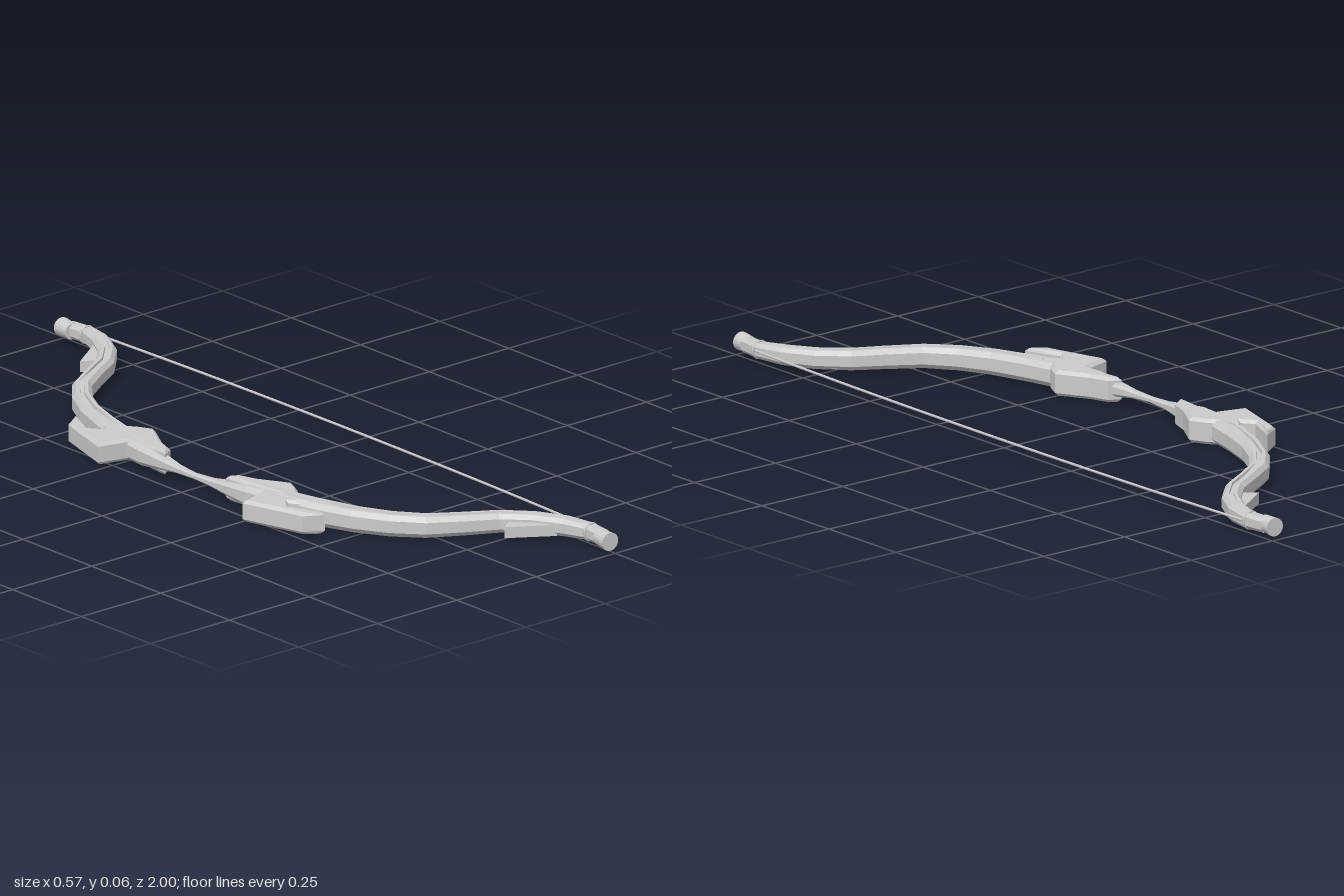
import * as THREE from 'three';

const MID = 0.036; // height of the bow's central plane
const material = new THREE.MeshStandardMaterial({ color: 0xcccccc, flatShading: true, side: THREE.DoubleSide });
const smooth = new THREE.MeshStandardMaterial({ color: 0xcccccc });

// half of the bow from grip to tip: x, z, half width, half height, groove depth
const HALF = [
  [-0.207, 0, 0.009, 0.006, 0],
  [-0.205, 0.06, 0.011, 0.009, 0],
  [-0.201, 0.12, 0.017, 0.017, 0],
  [-0.193, 0.19, 0.026, 0.026, 0],
  [-0.178, 0.28, 0.029, 0.029, 0],
  [-0.153, 0.38, 0.028, 0.029, 0.004],
  [-0.118, 0.48, 0.026, 0.028, 0.008],
  [-0.075, 0.56, 0.025, 0.027, 0.008],
  [-0.02, 0.625, 0.024, 0.026, 0],
  [0.06, 0.675, 0.023, 0.025, 0.006],
  [0.13, 0.715, 0.023, 0.024, 0.006],
  [0.19, 0.775, 0.023, 0.023, 0.004],
  [0.23, 0.845, 0.022, 0.022, 0],
  [0.248, 0.91, 0.018, 0.019, 0],
  [0.243, 0.97, 0.017, 0.018, 0],
];

// chamfered section with a shallow channel along the top
function section(w, h, g) {
  return [
    [w, -0.55 * h], [w, 0.55 * h], [0.6 * w, h], [0.25 * w, h], [0.2 * w, h - g],
    [-0.2 * w, h - g], [-0.25 * w, h], [-0.6 * w, h], [-w, 0.55 * h], [-w, -0.55 * h],
    [-0.6 * w, -h], [0.6 * w, -h],
  ];
}

// sweep the section along the whole mirrored path
function limbGeometry() {
  const path = [...HALF.slice(1).reverse().map(([x, z, ...r]) => [x, -z, ...r]), ...HALF];
  const pos = [], idx = [], n = 12;
  path.forEach(([x, z, w, h, g], i) => {
    const a = path[Math.max(i - 1, 0)], b = path[Math.min(i + 1, path.length - 1)];
    const t = new THREE.Vector2(b[0] - a[0], b[1] - a[1]).normalize();
    for (const [u, v] of section(w, h, g)) pos.push(x + t.y * u, MID + v, z - t.x * u);
    if (i === 0) return;
    for (let j = 0; j < n; j++) {
      const p = (i - 1) * n + j, q = (i - 1) * n + (j + 1) % n;
      idx.push(p, q, q + n, p, q + n, p + n);
    }
  });
  const geo = new THREE.BufferGeometry();
  geo.setAttribute('position', new THREE.Float32BufferAttribute(pos, 3));
  geo.setIndex(idx);
  geo.computeVertexNormals();
  return geo;
}

// horizontal plate from an x,z outline between two heights, with chamfered rims
function plate(points, side, y0, y1, bevel) {
  const shape = new THREE.Shape(points.map(([x, z]) => new THREE.Vector2(x, z * side)));
  const geo = new THREE.ExtrudeGeometry(shape, {
    depth: y1 - y0 - 2 * bevel, bevelEnabled: bevel > 0, bevelSegments: 1,
    bevelThickness: bevel, bevelSize: bevel, bevelOffset: -bevel,
  });
  geo.rotateX(Math.PI / 2);
  geo.translate(0, y1 - bevel, 0);
  return geo;
}

const GUARD = [
  [-0.285, 0.262], [-0.2, 0.238], [-0.17, 0.3], [-0.182, 0.36],
  [-0.203, 0.335], [-0.225, 0.365], [-0.19, 0.452], [-0.237, 0.425],
];
const GRIP_BLOCK = [
  [-0.205, 0.11], [-0.175, 0.125], [-0.158, 0.175], [-0.115, 0.25],
  [-0.135, 0.29], [-0.155, 0.315], [-0.165, 0.37], [-0.19, 0.28],
];
const FIN = [[0.1, 0.77], [0.165, 0.725], [0.21, 0.78], [0.205, 0.84]];

export function createModel() {
  const bow = new THREE.Group();
  bow.name = 'bow';
  const add = (name, geo, mat = material) => {
    const mesh = new THREE.Mesh(geo, mat);
    mesh.name = name;
    bow.add(mesh);
    return mesh;
  };

  add('limbs', limbGeometry());

  for (const side of [1, -1]) {
    const label = side > 0 ? 'front' : 'back';
    add(label + 'Guard', plate(GUARD, side, 0.008, 0.064, 0.008));
    add(label + 'GripBlock', plate(GRIP_BLOCK, side, 0.004, 0.067, 0.008));
    add(label + 'Fin', plate(FIN, side, 0.015, 0.043, 0));

    // round knob on the limb tip
    const knob = add(label + 'Knob', new THREE.CylinderGeometry(0.023, 0.02, 0.045, 20));
    knob.position.set(0.238, MID, side * 0.976);
    knob.rotation.set(side * Math.PI / 2, 0, side * 0.12);

    // string loop around the limb end
    const loop = add(label + 'StringLoop', new THREE.TorusGeometry(0.021, 0.003, 6, 20), smooth);
    loop.position.set(0.247, MID, side * 0.915);
  }

  // bowstring, slightly bowed outward
  const string = new THREE.CatmullRomCurve3(
    [[0.264, -0.915], [0.277, -0.5], [0.282, 0], [0.277, 0.5], [0.264, 0.915]]
      .map(([x, z]) => new THREE.Vector3(x, MID + 0.001, z)));
  add('bowstring', new THREE.TubeGeometry(string, 32, 0.0035, 6), smooth);

  return bow;
}
